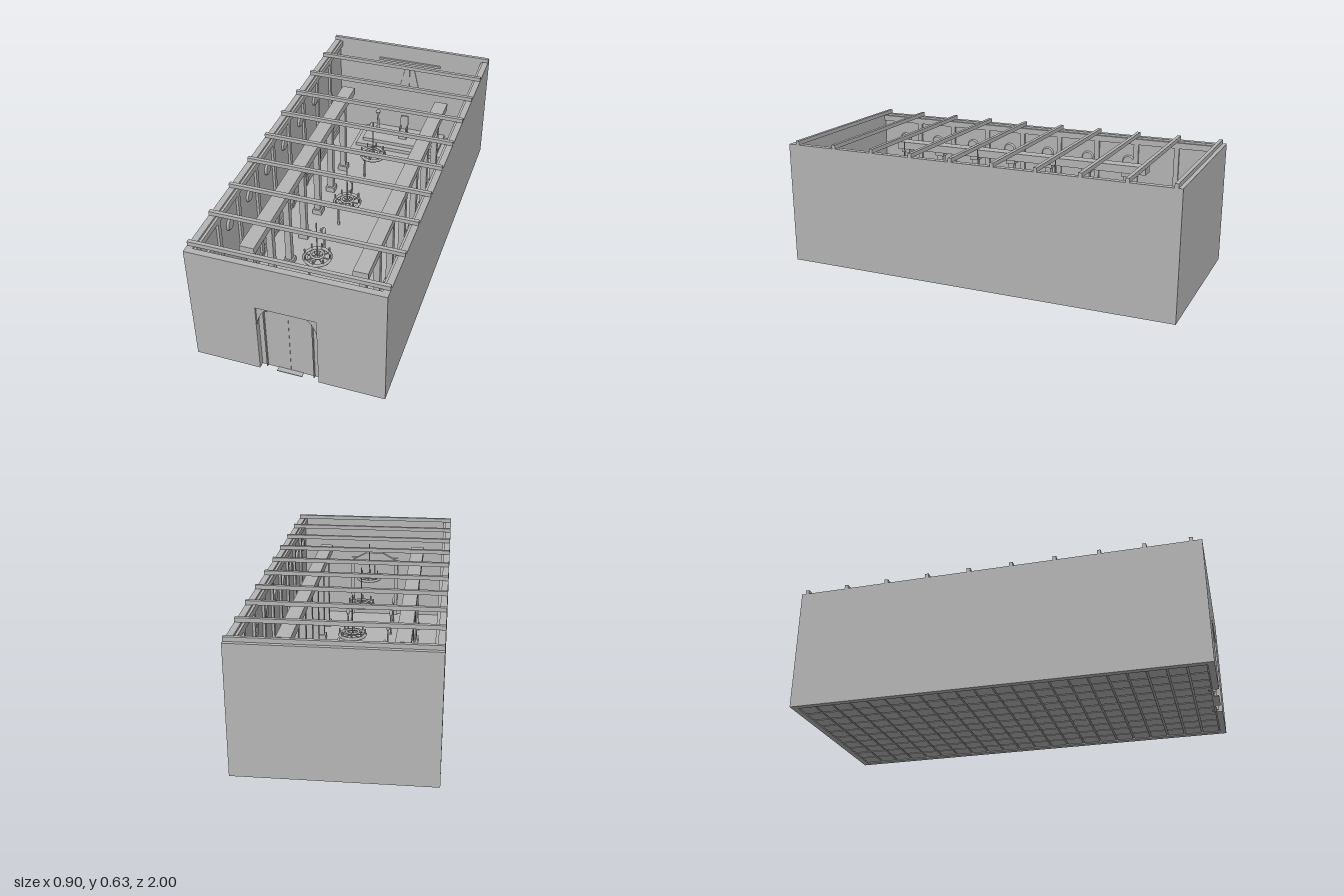
import * as THREE from 'three';

export function createModel() {
  const hall = new THREE.Group();
  hall.name = 'hall';
  const stone = new THREE.MeshStandardMaterial({ color: 0xb5b5b5 });
  stone.name = 'grey stone';

  const add = (name, geometry, x = 0, y = 0, z = 0, parent = hall) => {
    const mesh = new THREE.Mesh(geometry, stone);
    mesh.name = name;
    mesh.position.set(x, y, z);
    parent.add(mesh);
    return mesh;
  };
  // box given by centre x, bottom y, centre z
  const box = (name, w, h, d, x, y, z, parent) =>
    add(name, new THREE.BoxGeometry(w, h, d), x, y + h / 2, z, parent);
  const cyl = (name, r1, r2, h, x, y, z, n = 12, parent) =>
    add(name, new THREE.CylinderGeometry(r1, r2, h, n), x, y + h / 2, z, parent);

  const H = 0.615;
  const beamZ = Array.from({ length: 10 }, (_, i) => 0.95 - i * 0.2135);
  const bayZ = [0.835, 0.625, 0.4, 0.175, -0.05, -0.28, -0.505];

  // Outer walls
  for (const s of [-1, 1]) box('sideWall', 0.03, H, 2, s * 0.435, 0, 0);
  box('backWall', 0.84, H, 0.03, 0, 0, -0.985);
  const front = new THREE.Shape();
  front.moveTo(-0.42, 0);
  front.lineTo(-0.14, 0);
  front.lineTo(-0.14, 0.377);
  front.lineTo(0.14, 0.377);
  front.lineTo(0.14, 0);
  front.lineTo(0.42, 0);
  front.lineTo(0.42, H);
  front.lineTo(-0.42, H);
  add('frontWall', new THREE.ExtrudeGeometry(front, { depth: 0.03, bevelEnabled: false }), 0, 0, 0.97);

  // Doorway: curved corners, jambs and closed double door
  for (const s of [-1, 1]) {
    const corner = new THREE.Shape();
    corner.moveTo(s * 0.14, 0.377);
    corner.lineTo(s * 0.14, 0.27);
    corner.quadraticCurveTo(s * 0.128, 0.345, s * 0.08, 0.377);
    add('archCorner', new THREE.ExtrudeGeometry(corner, { depth: 0.008, bevelEnabled: false }), 0, 0, 0.982);
    box('doorJamb', 0.005, 0.35, 0.012, s * 0.1125, 0, 0.976);
    box('doorLeaf', 0.139, 0.377, 0.01, s * 0.07, 0, 0.967);
    box('doorHinge', 0.02, 0.004, 0.008, s * 0.105, 0.346, 0.975);
    box('innerJamb', 0.02, 0.36, 0.012, s * 0.13, 0, 0.957);
  }
  box('threshold', 0.12, 0.004, 0.03, 0, 0, 0.98);
  const gable = new THREE.Shape([[-0.14, 0.36], [0.14, 0.36], [0.05, 0.41], [-0.05, 0.41]]
    .map(p => new THREE.Vector2(...p)));
  add('innerLintel', new THREE.ExtrudeGeometry(gable, { depth: 0.02, bevelEnabled: false }), 0, 0, 0.945);

  // Floor slab with paving laid below it
  box('floor', 0.84, 0.01, 1.94, 0, 0.008, 0);
  const cols = 10, rows = 22;
  for (let i = 0; i < cols; i++) for (let j = 0; j < rows; j++) {
    box('floorTile', 0.84 / cols - 0.008, 0.006, 1.94 / rows - 0.008,
      -0.42 + (i + 0.5) * 0.84 / cols, 0.003, -0.97 + (j + 0.5) * 1.94 / rows);
  }

  // Roof cross beams, wall plates and side posts
  for (const z of beamZ) box('crossBeam', 0.9, 0.02, 0.018, 0, H, z);
  for (const s of [-1, 1]) {
    box('wallPlate', 0.012, 0.03, 1.94, s * 0.414, 0.575, 0);
    box('wallFoot', 0.008, 0.03, 1.94, s * 0.416, 0.018, 0);
    beamZ.slice(1, 9).forEach(z => box('wallPost', 0.012, 0.56, 0.025, s * 0.414, 0.018, z));

    // Long beam carried on pillars
    box('longBeam', 0.07, 0.04, 1.43, s * 0.265, 0.465, 0.065);
    beamZ.slice(1, 8).forEach(z => {
      box('pillar', 0.032, 0.45, 0.032, s * 0.265, 0.018, z);
      box('pillarBase', 0.05, 0.03, 0.05, s * 0.265, 0.018, z);
      box('pillarCap', 0.05, 0.02, 0.05, s * 0.265, 0.445, z);
    });

    // Round wall shields and candle stands in each bay
    bayZ.forEach((z, i) => {
      const shield = cyl('wallShield', 0.028, 0.034, 0.01, s * 0.413, 0.475, z, 16);
      shield.rotation.z = s * Math.PI / 2;
      if (s > 0 && i === 2) return;
      const lamp = add('candleFlame', new THREE.SphereGeometry(0.02, 8, 6), s * 0.125, 0.15, z);
      lamp.scale.set(0.5, 1, 0.9);
      cyl('candleStand', 0.004, 0.006, 0.12, s * 0.125, 0.016, z, 6);
    });
  }

  // Chandeliers: rim, hub, spokes, candles and chain
  for (const z of [-0.255, 0.17, 0.6]) {
    const lamp = new THREE.Group();
    lamp.name = 'chandelier';
    lamp.position.set(0, 0.37, z);
    hall.add(lamp);
    const rim = add('rim', new THREE.TorusGeometry(0.062, 0.008, 6, 24), 0, 0, 0, lamp);
    rim.rotation.x = Math.PI / 2;
    const hub = add('innerRing', new THREE.TorusGeometry(0.03, 0.006, 6, 16), 0, 0.015, 0, lamp);
    hub.rotation.x = Math.PI / 2;
    for (let k = 0; k < 8; k++) {
      const a = k * Math.PI / 4;
      cyl('candle', 0.004, 0.004, 0.025, Math.cos(a) * 0.062, 0.005, Math.sin(a) * 0.062, 6, lamp);
      if (k < 4) box('spoke', 0.124, 0.005, 0.005, 0, -0.002, 0, lamp).rotation.y = a;
    }
    cyl('chain', 0.003, 0.003, 0.2, 0, 0, 0, 6, lamp);
  }

  // Stepped dais at the back with throne and braziers
  [[0.57, 0.245], [0.52, 0.205], [0.46, 0.17]].forEach(([w, d], i) =>
    box('daisStep', w, 0.02, d, 0, 0.018 + i * 0.02, -0.97 + d / 2));
  box('throneSeat', 0.045, 0.05, 0.045, 0, 0.078, -0.875);
  box('throneBack', 0.045, 0.14, 0.01, 0, 0.078, -0.893);
  for (const s of [-1, 1]) {
    box('throneArm', 0.006, 0.025, 0.04, s * 0.02, 0.128, -0.875);
    cyl('brazierStand', 0.005, 0.01, 0.12, s * 0.165, 0.078, -0.9, 8);
    cyl('brazierBowl', 0.016, 0.008, 0.02, s * 0.165, 0.195, -0.9, 12);
    box('daisUrn', 0.03, 0.03, 0.015, s * 0.15, 0.018, -0.725);
  }

  // Back wall hanging and its rail
  box('hangingRail', 0.36, 0.012, 0.012, 0, 0.53, -0.964);
  for (const x of [-0.04, 0, 0.04]) {
    box('wallSpear', 0.004, 0.12, 0.006, x, 0.38, -0.966).rotation.z = x * 6;
  }

  // Loose stones on the floor
  for (const [x, z] of [[-0.19, 0.03], [0.17, -0.305], [0.2, -0.165], [-0.16, -0.32], [0.205, -0.565]]) {
    add('looseStone', new THREE.IcosahedronGeometry(0.014, 0), x, 0.026, z);
  }
  return hall;
}
